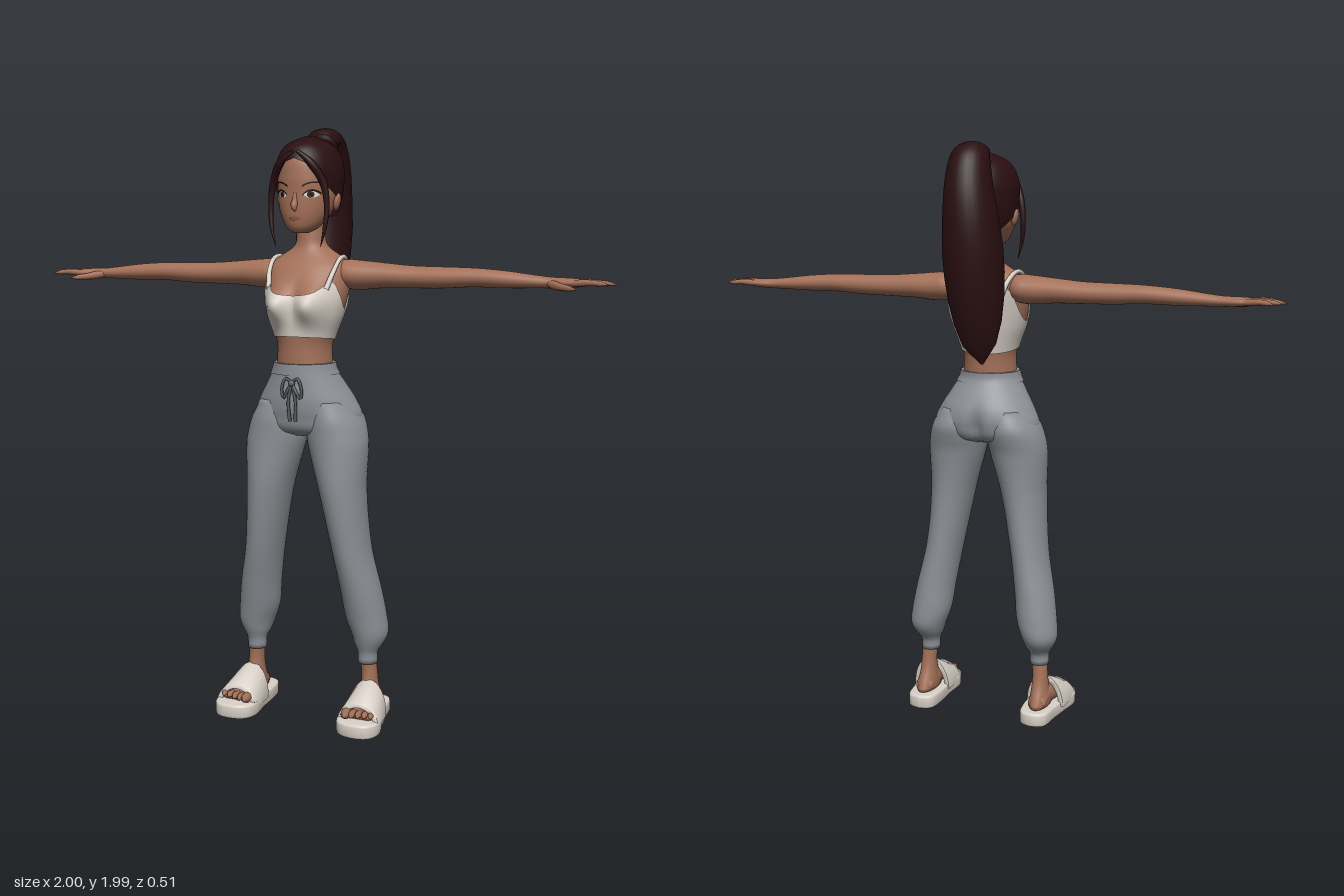
import * as THREE from 'three';
import { toCreasedNormals } from 'three/addons/utils/BufferGeometryUtils.js';

const V = (x, y, z) => new THREE.Vector3(x, y, z);
const mat = (name, color) => {
  const m = new THREE.MeshStandardMaterial({ color, side: THREE.DoubleSide });
  m.name = name;
  return m;
};

// Smooth interpolation of keyed rows: [key, value, value, ...]
function sample(rows, k) {
  const n = rows.length;
  k = Math.min(Math.max(k, rows[0][0]), rows[n - 1][0]);
  let i = 0;
  while (i < n - 2 && k > rows[i + 1][0]) i++;
  const a = rows[i], b = rows[i + 1], h = b[0] - a[0], t = (k - a[0]) / h;
  const slope = (p, j) => {
    const q = rows[Math.max(p - 1, 0)], r = rows[Math.min(p + 1, n - 1)];
    return (r[j] - q[j]) / (r[0] - q[0]);
  };
  return a.slice(1).map((v, m) => {
    const j = m + 1, t2 = t * t, t3 = t2 * t;
    return v * (2 * t3 - 3 * t2 + 1) + b[j] * (3 * t2 - 2 * t3)
      + h * (slope(i, j) * (t3 - 2 * t2 + t) + slope(i + 1, j) * (t3 - t2));
  });
}

// Lofted body of elliptical rows [y, centreX, halfWidth, zFront, zBack]
function loft(rows, { lo = () => rows[0][0], hi = () => rows[rows.length - 1][0], off = 0, nu = 40, nv = 32, cap = true, shape } = {}) {
  const pos = [], idx = [];
  for (let j = 0; j <= nv; j++) for (let i = 0; i < nu; i++) {
    const a = i / nu * Math.PI * 2, s = a > Math.PI ? a - Math.PI * 2 : a;
    const y = lo(s) + (hi(s) - lo(s)) * j / nv;
    const [cx, hx, zf, zb] = sample(rows, y);
    const p = V(cx + (hx + off) * Math.sin(a), y, (zf + zb) / 2 + ((zf - zb) / 2 + off) * Math.cos(a));
    if (shape) shape(p, Math.cos(a));
    pos.push(p.x, p.y, p.z);
  }
  for (let j = 0; j < nv; j++) for (let i = 0; i < nu; i++) {
    const a = j * nu + i, b = j * nu + (i + 1) % nu;
    idx.push(a, b, b + nu, a, b + nu, a + nu);
  }
  if (cap) for (const [row, key, flip] of [[0, rows[0], true], [nv, rows[rows.length - 1], false]]) {
    const c = pos.length / 3;
    pos.push(key[1], row ? hi(0) : lo(0), (key[3] + key[4]) / 2);
    for (let i = 0; i < nu; i++) {
      const a = row * nu + i, b = row * nu + (i + 1) % nu;
      flip ? idx.push(b, a, c) : idx.push(a, b, c);
    }
  }
  const g = new THREE.BufferGeometry();
  g.setAttribute('position', new THREE.Float32BufferAttribute(pos, 3));
  g.setIndex(idx);
  g.computeVertexNormals();
  return g;
}

// Tube with changing radius, optionally stretched along one direction
function taper(points, radii, { seg = 20, sides = 10, dir, k = 1 } = {}) {
  const curve = new THREE.CatmullRomCurve3(points.map(p => V(...p)));
  const g = new THREE.TubeGeometry(curve, seg, 1, sides), P = g.attributes.position;
  for (let v = 0; v < P.count; v++) {
    const t = Math.floor(v / (sides + 1)) / seg, c = curve.getPointAt(t);
    const f = t * (radii.length - 1), i = Math.min(Math.floor(f), radii.length - 2);
    const o = V(0, 0, 0).fromBufferAttribute(P, v).sub(c)
      .multiplyScalar(radii[i] + (radii[i + 1] - radii[i]) * (f - i));
    if (dir) o.addScaledVector(dir, o.dot(dir) * (k - 1));
    P.setXYZ(v, c.x + o.x, c.y + o.y, c.z + o.z);
  }
  return g;
}

function mirrored(geo) {
  const g = geo.clone().scale(-1, 1, 1);
  const a = g.index ? [...g.index.array] : [...Array(g.attributes.position.count).keys()];
  for (let i = 0; i < a.length; i += 3) [a[i], a[i + 1]] = [a[i + 1], a[i]];
  g.setIndex(a);
  return g;
}

const HEAD = [[1.643, 0, .022, .165, .11], [1.655, 0, .045, .178, .08], [1.68, 0, .067, .186, .04], [1.72, 0, .086, .19, 0],
  [1.77, 0, .096, .19, -.03], [1.82, 0, .098, .19, -.05], [1.88, 0, .088, .178, -.04], [1.92, 0, .06, .14, -.01], [1.935, 0, .02, .08, .04]];
const HAIR = [[1.66, 0, .06, .1, 0], [1.7, 0, .085, .15, -.035], [1.75, 0, .1, .19, -.058], [1.8, 0, .107, .2, -.069],
  [1.85, 0, .107, .203, -.07], [1.9, 0, .09, .185, -.055], [1.93, 0, .06, .15, -.02], [1.95, 0, .015, .085, .04]];
const TORSO = [[1.16, 0, .1, .2, .015], [1.22, 0, .092, .203, .015], [1.28, 0, .09, .203, .012], [1.32, 0, .1, .205, .005],
  [1.38, 0, .123, .205, -.005], [1.44, 0, .138, .198, -.015], [1.5, 0, .143, .175, -.025], [1.54, 0, .138, .15, -.025],
  [1.57, 0, .1, .125, -.012], [1.6, 0, .056, .11, 0], [1.64, 0, .047, .104, .01], [1.7, 0, .045, .1, .01]];
const HIPS = [[.98, 0, .08, .14, .03], [1, 0, .17, .185, -.022], [1.05, 0, .186, .203, -.045], [1.1, 0, .165, .211, -.043],
  [1.15, 0, .135, .211, -.02], [1.2, 0, .106, .21, .01], [1.225, 0, .1, .209, .012]];
const LEG = [[.2, .207, .033, .09, .02], [.24, .207, .034, .092, .018], [.26, .208, .046, .1, 0], [.3, .21, .062, .112, -.026],
  [.36, .198, .07, .125, -.029], [.45, .185, .068, .145, -.022], [.6, .158, .064, .175, -.01], [.8, .131, .077, .2, -.005],
  [.95, .112, .1, .2, -.018], [1, .104, .1, .2, -.032], [1.04, .098, .092, .2, -.04], [1.1, .085, .07, .19, -.02]];
// Arm rows run along x: [x, -centreY, halfHeight, zFront, zBack]
const ARM = [[.08, -1.515, .03, .08, .03], [.12, -1.512, .046, .113, -.005], [.17, -1.508, .048, .113, -.005], [.25, -1.508, .041, .1, 0],
  [.35, -1.505, .036, .092, .005], [.45, -1.505, .034, .09, .01], [.55, -1.507, .03, .085, .012], [.65, -1.503, .027, .082, .015],
  [.75, -1.498, .02, .073, .02], [.8, -1.496, .017, .07, .02], [.84, -1.496, .016, .082, .012], [.88, -1.497, .013, .09, .012], [.905, -1.497, .009, .086, .016]];
const ANKLE = [[.05, .214, .034, .13, -.025], [.08, .214, .034, .115, -.012], [.12, .213, .029, .09, .008], [.16, .212, .027, .08, .018], [.23, .207, .028, .082, .026]];
// Foot rows run along z: [z, centreX, halfWidth, -bottomY, -topY]
const FOOT = [[0, .214, .03, -.04, -.09], [.06, .216, .036, -.04, -.125], [.12, .221, .045, -.04, -.1], [.17, .224, .052, -.04, -.075], [.195, .225, .05, -.045, -.065]];
const HAIRLINE = [[0, 1.878], [.5, 1.853], [.9, 1.8], [1.25, 1.77], [1.6, 1.745], [2.2, 1.705], [3.15, 1.685]];
const NECKLINE = [[0, 1.445], [.5, 1.457], [.85, 1.49], [1.15, 1.45], [1.57, 1.4], [2, 1.43], [2.4, 1.515], [3.15, 1.5]];

// Thin plate laid over the face between two curves of t in [-1, 1]
function facePlate(cx, cy, hw, top, bottom, off) {
  const g = new THREE.PlaneGeometry(2, 1, 16, 4), P = g.attributes.position;
  for (let i = 0; i < P.count; i++) {
    const t = P.getX(i), v = P.getY(i) + .5, x = cx + hw * t, y = cy + bottom(t) + (top(t) - bottom(t)) * v;
    const [, hx, zf, zb] = sample(HEAD, y);
    P.setXYZ(i, x, y, (zf + zb) / 2 + (zf - zb) / 2 * Math.sqrt(Math.max(0, 1 - (x / hx) ** 2)) + off);
  }
  g.computeVertexNormals();
  return g;
}

export function createModel() {
  const model = new THREE.Group();
  model.name = 'woman';
  const skin = mat('skin', 0xa37058), hair = mat('dark hair', 0x2a0f11), cream = mat('cream', 0xd8d0c7), grey = mat('grey fabric', 0x8d9196),
    cord = mat('dark cord', 0x5c6065), white = mat('eye white', 0xe6dfda), iris = mat('iris brown', 0x3a1c12), ink = mat('lash black', 0x140a0a), lip = mat('lip rose', 0x9a5850);
  const add = (name, g, m) => {
    const mesh = new THREE.Mesh(g, m);
    mesh.name = name;
    model.add(mesh);
  };
  const pair = (name, g, m) => {
    add(name + 'Left', g, m);
    add(name + 'Right', mirrored(g), m);
  };

  // Torso and cropped top
  const bust = (p, c) => {
    if (c > 0) p.z += .052 * Math.min(1, c * 3) * Math.exp(-(((Math.abs(p.x) - .06) / .045) ** 2) - ((p.y - 1.415) / .058) ** 2);
  };
  add('torso', loft(TORSO, { shape: bust, nu: 64, nv: 60 }), skin);
  add('croppedTop', loft(TORSO, { shape: bust, off: .006, nu: 80, nv: 32, cap: false,
    lo: s => 1.302 + .012 * Math.cos(s), hi: s => sample(NECKLINE, Math.abs(s))[0] }), cream);
  pair('shoulderStrap', taper([[.1, 1.465, .175], [.112, 1.52, .142], [.116, 1.56, .095], [.112, 1.564, .04], [.1, 1.53, -.012], [.09, 1.49, -.03]], [.009, .007, .007, .009]), cream);

  // Arms and hands
  pair('arm', loft(ARM, { nu: 28, nv: 48 }).rotateZ(-Math.PI / 2), skin);
  for (const [i, [z0, z1, tip]] of [[.022, .008, .965], [.041, .036, .99], [.061, .062, 1], [.08, .092, .98]].entries())
    pair('finger' + (i + 1), taper([[.87, 1.497, z0], [.92, 1.5, (z0 + z1) / 2], [tip, 1.495, z1]], [.01, .0105, .009, .008, .001], { sides: 8 }), skin);
  pair('thumb', taper([[.79, 1.494, .058], [.835, 1.486, .095], [.89, 1.48, .128]], [.01, .014, .011, .009, .001], { sides: 8 }), skin);

  // Jogging trousers
  const cleft = (p, c) => {
    if (c < 0) p.z += .022 * Math.exp(-((p.x / .022) ** 2) - ((p.y - 1.04) / .06) ** 2);
  };
  add('trouserHips', loft(HIPS, { shape: cleft, nu: 64 }), grey);
  add('waistband', loft(HIPS, { off: .004, lo: () => 1.188, hi: () => 1.225, nv: 4, cap: false }), grey);
  pair('trouserLeg', loft(LEG, { nv: 60 }), grey);
  pair('drawstringLoop', taper([[0, 1.165, .219], [.02, 1.18, .222], [.034, 1.15, .222], [.03, 1.115, .22], [.018, 1.135, .224], [0, 1.165, .219]], [.005, .005], { seg: 24, sides: 6 }), cord);
  pair('drawstringEnd', taper([[0, 1.165, .22], [.012, 1.11, .22], [.01, 1.04, .214]], [.005, .005, .006], { sides: 6 }), cord);
  add('drawstringKnot', new THREE.SphereGeometry(.011, 12, 8).translate(0, 1.165, .222), cord);

  // Feet
  pair('ankle', loft(ANKLE, { nu: 24, nv: 16 }), skin);
  pair('foot', loft(FOOT, { nu: 24, nv: 14 }).rotateX(Math.PI / 2), skin);
  for (let i = 0; i < 5; i++) {
    const x = .182 + i * .0215, z = .226 - i * .006, r = i ? .0115 : .016;
    pair('toe' + (i + 1), taper([[x, .06, .16], [x + .001, .064, .195], [x + .002, .057, z]], [r, r, r * 1.05, r, .001], { sides: 8 }), skin);
  }

  // Slippers: bevelled sole and sloping arched band
  const outline = new THREE.Shape(new THREE.SplineCurve([[.21, -.047], [.25, -.03], [.262, .04], [.277, .12], [.29, .19], [.27, .234], [.225, .245],
    [.178, .232], [.157, .19], [.163, .11], [.164, .03], [.174, -.03], [.21, -.047]].map(p => new THREE.Vector2(...p))).getPoints(48));
  const sole = new THREE.ExtrudeGeometry(outline, { depth: .032, bevelThickness: .008, bevelSize: .008, bevelSegments: 3 });
  pair('slipperSole', toCreasedNormals(sole.rotateX(Math.PI / 2).translate(0, .04, 0), .6), cream);
  const arch = new THREE.Shape();
  arch.absellipse(0, 0, .07, .108, 0, Math.PI, false);
  arch.absellipse(0, 0, .058, .092, Math.PI, 0, true);
  const band = new THREE.ExtrudeGeometry(arch, { depth: .105, bevelThickness: .005, bevelSize: .004, bevelSegments: 2, curveSegments: 28 });
  const B = band.attributes.position;
  for (let i = 0; i < B.count; i++) {
    const t = B.getZ(i) / .105, y = B.getY(i);
    B.setXYZ(i, B.getX(i) * (.92 + .08 * t) + .219 + .005 * t, .032 + y * (1 - .4 * t), .08 + B.getZ(i) + (.1 - y) * .1);
  }
  band.computeVertexNormals();
  pair('slipperBand', toCreasedNormals(band, .7), cream);

  // Head and face
  add('head', loft(HEAD, { nu: 56, nv: 40 }), skin);
  pair('ear', new THREE.SphereGeometry(1, 16, 12).scale(.01, .028, .018).rotateZ(-.2).translate(.099, 1.742, .075), skin);
  add('nose', taper([[0, 1.775, .186], [0, 1.745, .192], [0, 1.724, .197], [0, 1.714, .189]], [.004, .007, .012, .004]), skin);
  const arc = t => 1 - t * t, round = t => Math.sqrt(Math.max(0, 1 - t * t));
  pair('eyeWhite', facePlate(.05, 1.763, .022, t => .013 * arc(t), t => -.009 * arc(t), .002), white);
  pair('iris', facePlate(.049, 1.764, .0105, t => .0105 * round(t), t => -.0095 * round(t), .0035), iris);
  pair('pupil', facePlate(.049, 1.764, .005, t => .005 * round(t), t => -.005 * round(t), .0045), ink);
  pair('upperLash', facePlate(.051, 1.763, .025, t => .013 * arc(t) + .0045 + .003 * t, t => .013 * arc(t) - .001 + .002 * t, .005), ink);
  pair('eyebrow', facePlate(.05, 1.795, .025, t => .006 * arc(t) + .003 + .005 * t, t => .006 * arc(t) - .002 + .006 * t, .004), hair);
  add('lips', facePlate(0, 1.69, .021, t => .006 * arc(t), t => -.008 * arc(t), .004), lip);

  // Hair cap, loose strands and high ponytail
  add('hairCap', loft(HAIR, { lo: s => sample(HAIRLINE, Math.abs(s))[0], nu: 64, nv: 28 }).clone(), hair);
  model.children[model.children.length - 1].geometry = loft(HAIR, { lo: s => sample(HAIRLINE, Math.abs(s))[0], nu: 64, nv: 28, cap: false });
  pair('frontStrand', taper([[.005, 1.9, .185], [.05, 1.865, .187], [.085, 1.805, .165], [.097, 1.73, .16], [.092, 1.66, .165], [.078, 1.6, .166]], [.006, .013, .012, .009, .007, .001], { seg: 32 }), hair);
  add('hairTie', new THREE.TorusGeometry(.036, .013, 10, 24).rotateX(.75).translate(-.005, 1.925, -.065), hair);
  add('ponytail', taper([[0, 1.9, -.035], [-.012, 1.95, -.085], [-.02, 1.93, -.13], [-.03, 1.85, -.167], [-.042, 1.75, -.182],
    [-.05, 1.6, -.174], [-.05, 1.45, -.146], [-.045, 1.35, -.113], [-.038, 1.27, -.07]],
  [.026, .036, .044, .05, .056, .06, .06, .056, .048, .034, .003], { seg: 60, sides: 28, dir: V(.82, 0, -.57), k: 1.65 }), hair);
  return model;
}
